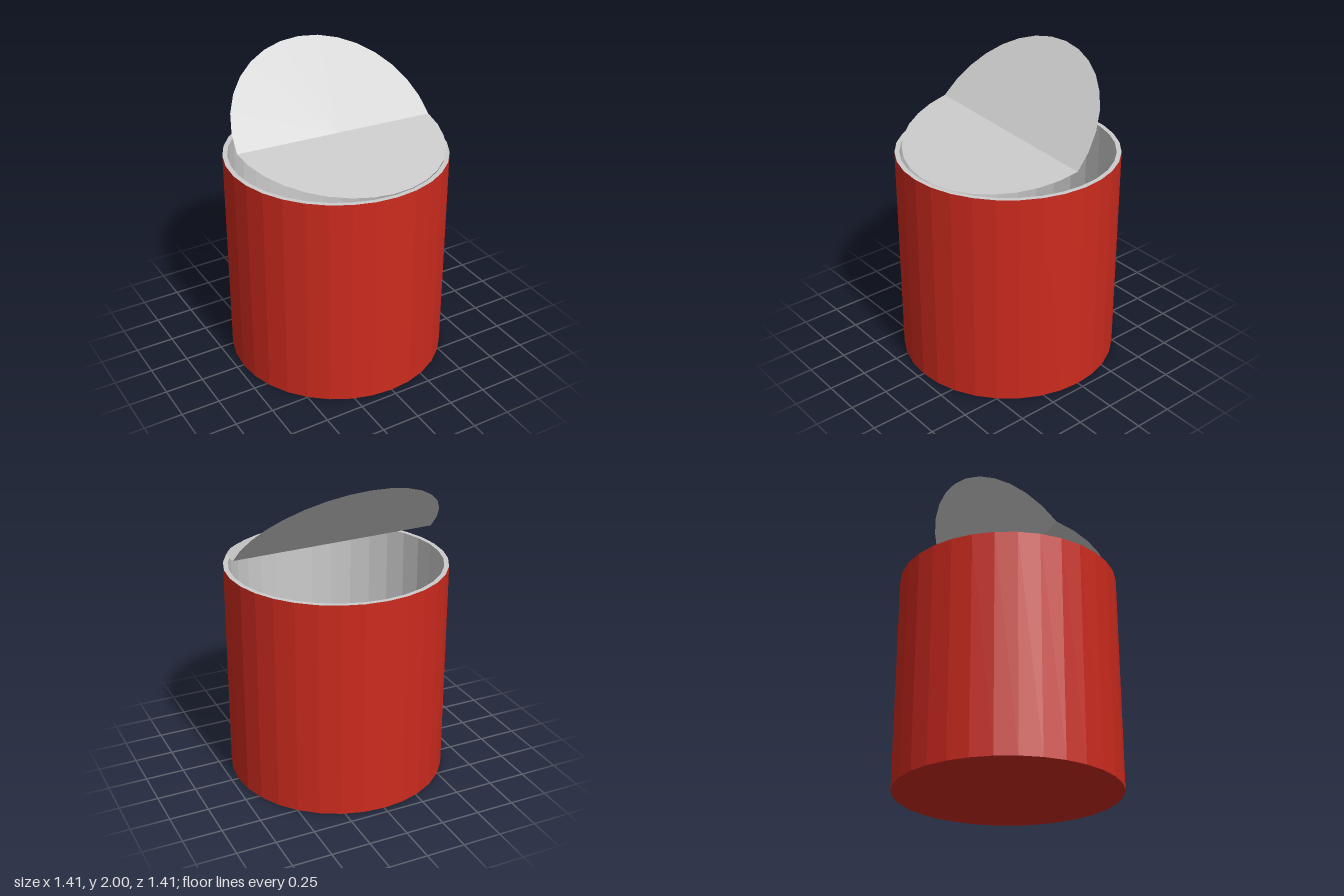
import * as THREE from 'three';

const SIDES = 32, OUTER = 0.705, INNER = 0.675, HEIGHT = 1.41, FLOOR = 0.03;

// Half disc spanned by a fold direction and a reach direction
function halfDisc(center, fold, reach) {
  const points = [center.clone()];
  const steps = SIDES / 2;
  for (let i = 0; i <= steps; i++) {
    const a = (i / steps) * Math.PI;
    points.push(center.clone()
      .addScaledVector(fold, Math.cos(a))
      .addScaledVector(reach, Math.sin(a)));
  }
  const index = [];
  for (let i = 1; i <= steps; i++) index.push(0, i + 1, i);
  const geometry = new THREE.BufferGeometry().setFromPoints(points);
  geometry.setIndex(index);
  geometry.computeVertexNormals();
  return geometry;
}

export function createModel() {
  const model = new THREE.Group();
  const red = new THREE.MeshStandardMaterial({ color: 0xcc2a1e, flatShading: true });
  const grey = new THREE.MeshStandardMaterial({ color: 0xcccccc, flatShading: true });
  const thin = new THREE.MeshStandardMaterial({ color: 0xcccccc, flatShading: true, side: THREE.DoubleSide });

  const add = (name, geometry, material, parent = model) => {
    const mesh = new THREE.Mesh(geometry, material);
    mesh.name = name;
    parent.add(mesh);
    return mesh;
  };
  const lathe = (...profile) =>
    new THREE.LatheGeometry(profile.map(([r, y]) => new THREE.Vector2(r, y)), SIDES);

  // Painted outside and base
  add('canBody', lathe([0, 0], [OUTER, 0], [OUTER, HEIGHT]), red);

  // Bare metal rim, inner wall and floor
  add('canLining', lathe([OUTER, HEIGHT], [INNER, HEIGHT], [INNER, FLOOR], [0, FLOOR]), grey);

  // Lid folded across the middle: front flap rests on the rim, back flap is bent up
  const lid = new THREE.Group();
  lid.name = 'lid';
  model.add(lid);
  const center = new THREE.Vector3(0, 1.525, 0.01);
  const fold = new THREE.Vector3(0.67, -0.018, 0.02);
  add('lidFrontFlap', halfDisc(center, fold, new THREE.Vector3(0, -0.113, 0.655)), thin, lid);
  add('lidBackFlap', halfDisc(center, fold.clone().negate(), new THREE.Vector3(0, 0.475, -0.475)), thin, lid);

  return model;
}
